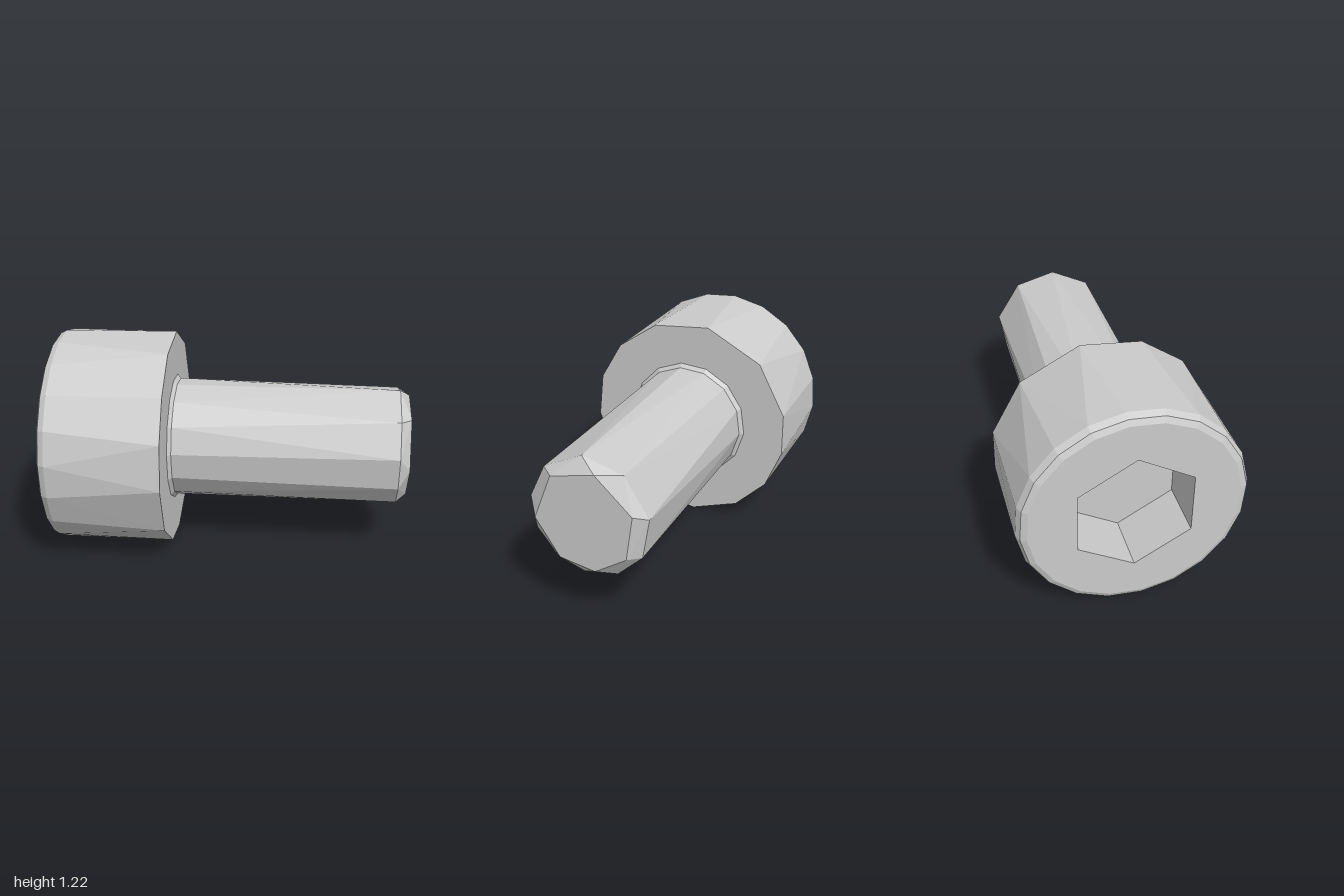
import * as THREE from 'three';

const AXIS_Y = 0.61;
const material = new THREE.MeshStandardMaterial({ color: 0xcccccc, flatShading: true });

// Evenly spaced angles in degrees
const even = (n, start = 0) => Array.from({ length: n }, (_, i) => start + (i * 360) / n);

// A ring of points around the screw's axis
const ring = (x, r, angles) => ({ x, r, angles });

function pointOn({ x, r, angles }, i) {
  const a = THREE.MathUtils.degToRad(angles[i % angles.length]);
  return [x, AXIS_Y + r * Math.sin(a), r * Math.cos(a)];
}

// Facets between neighbouring rings, which may have different numbers of points
function loft(name, rings) {
  const positions = [];
  const next = (g, i) => g.angles[i % g.angles.length] + 360 * Math.floor(i / g.angles.length);
  for (let k = 0; k < rings.length - 1; k++) {
    const a = rings[k], b = rings[k + 1];
    const na = a.angles.length, nb = b.angles.length;
    let i = 0, j = 0;
    while (i < na || j < nb) {
      const midA = next(a, i) + next(a, i + 1);
      const midB = next(b, j) + next(b, j + 1);
      const advanceA = j >= nb || (i < na && midA <= midB);
      const third = advanceA ? pointOn(a, i + 1) : pointOn(b, j + 1);
      // A ring of zero radius is a single point and has no edges of its own
      if ((advanceA ? a : b).r > 0) positions.push(...pointOn(a, i), ...pointOn(b, j), ...third);
      if (advanceA) i++; else j++;
    }
  }
  const geometry = new THREE.BufferGeometry();
  geometry.setAttribute('position', new THREE.Float32BufferAttribute(positions, 3));
  geometry.computeVertexNormals();
  const mesh = new THREE.Mesh(geometry, material);
  mesh.name = name;
  return mesh;
}

export function createModel() {
  const group = new THREE.Group();
  group.name = 'socketHeadScrew';

  // Uneven facets of the coarse, low-poly outline
  const hexagon = even(6, 30);
  const rim = even(20, 5);
  const collar = even(14, 5);
  const shoulder = [-6.5, 18, 42, 69, 101, 136, 168, 191, 214, 238, 266, 291, 324];
  const shank = [8, 43, 85, 126, 170, 210, 243, 277, 308, 336];
  const tip = [-8, 51, 104, 162, 215, 259, 301];

  // Hexagonal key socket: floor and walls
  group.add(loft('socket', [
    ring(-0.69, 0, [30]),
    ring(-0.69, 0.347, hexagon),
    ring(-1, 0.347, hexagon),
  ]));

  // Head: end face, rounded rim, side and underside
  group.add(loft('head', [
    ring(-1, 0.347, hexagon),
    ring(-1, 0.56, rim),
    ring(-0.985, 0.592, rim),
    ring(-0.95, 0.61, rim),
    ring(-0.33, 0.61, shoulder),
    ring(-0.33, 0.36, collar),
  ]));

  // Shaft: small fillet under the head, shank, chamfer and end face
  group.add(loft('shaft', [
    ring(-0.33, 0.36, collar),
    ring(-0.31, 0.338, collar),
    ring(0.94, 0.338, shank),
    ring(1, 0.283, tip),
    ring(1, 0, [0]),
  ]));

  return group;
}
